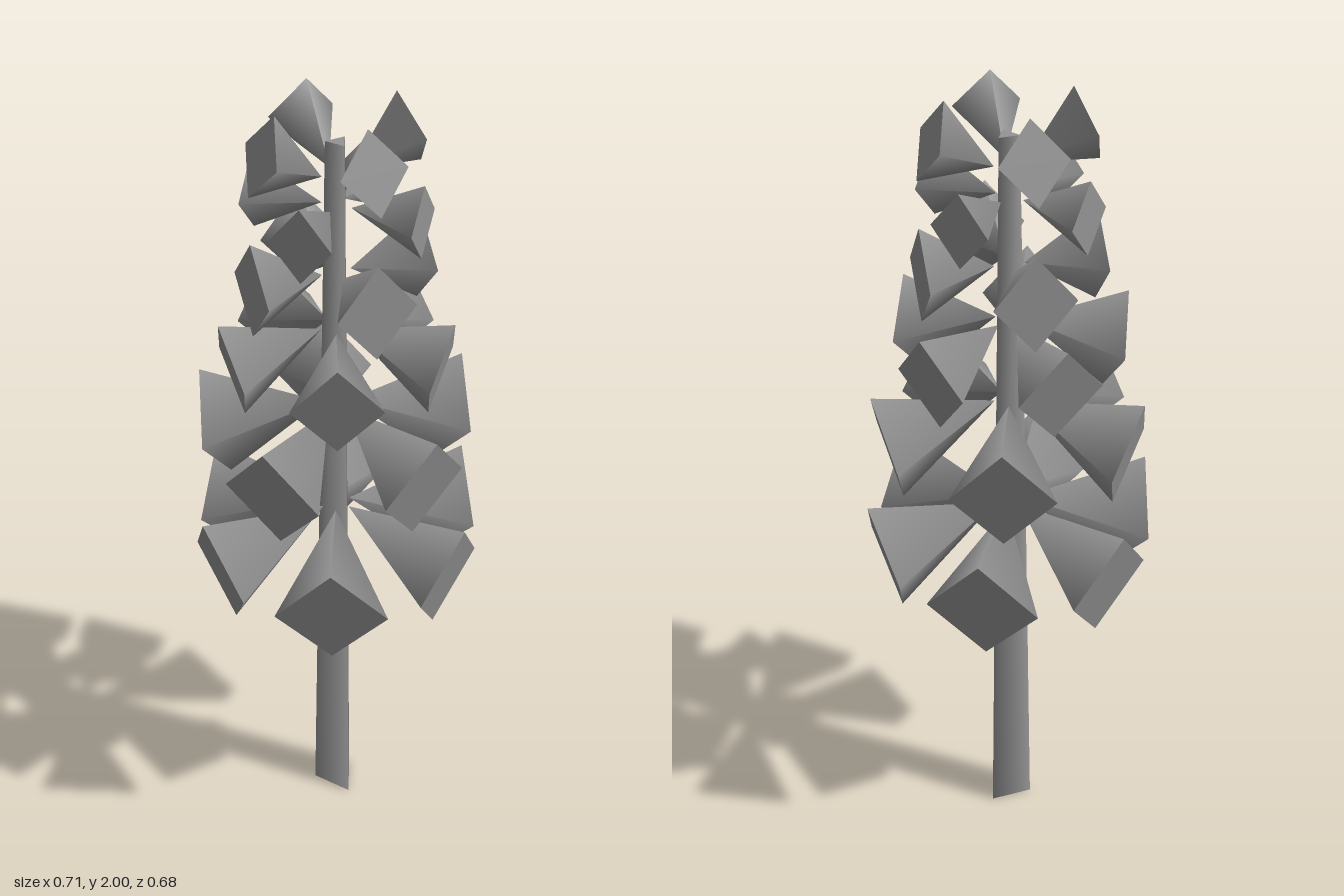
import * as THREE from 'three';

const rad = THREE.MathUtils.degToRad;
const STRETCH = 1.2; // blossoms are taller than wide
const APEX = 0.035; // distance of each blossom's tip from the stem axis

// count, first angle (0 = +x, 90 = front), height, distance of mouth, width, upward tilt
const tiers = [
  { count: 6, start: 0.7, y: 0.86, r: 0.317, width: 0.265, tilt: -16.5 },
  { count: 5, start: 88, y: 1.16, r: 0.296, width: 0.245, tilt: -16 },
  { count: 5, start: 58, y: 1.39, r: 0.249, width: 0.21, tilt: -15 },
  { count: 4, start: 33, y: 1.6, r: 0.205, width: 0.19, tilt: 0 },
  { count: 4, start: 81, y: 1.76, r: 0.2, width: 0.145, tilt: -1 },
  { count: 4, start: 32, y: 1.913, r: 0.175, width: 0.157, tilt: 24 },
];

export function createModel() {
  const model = new THREE.Group();
  model.name = 'flowerSpike';
  const material = new THREE.MeshStandardMaterial({ color: 0x949494 });

  // Tapering three-sided stem
  const stem = new THREE.Mesh(new THREE.CylinderGeometry(0.028, 0.062, 1.91, 3), material);
  stem.name = 'stem';
  stem.position.set(0, 1.91 / 2, -0.007);
  stem.rotation.y = Math.PI;
  model.add(stem);

  // Rings of four-sided blossoms, tip at the stem and flat mouth facing out
  tiers.forEach(({ count, start, y, r, width, tilt }, i) => {
    const ring = new THREE.Group();
    ring.name = `blossomRing${i + 1}`;
    ring.position.y = y;
    const length = (r - APEX) / Math.cos(rad(tilt));
    const geometry = new THREE.ConeGeometry(width / 2, length, 4)
      .rotateX(-Math.PI / 2)
      .translate(0, 0, -length / 2)
      .rotateX(-rad(tilt))
      .scale(1, STRETCH, 1);
    for (let k = 0; k < count; k++) {
      const angle = rad(start + (360 * k) / count);
      const blossom = new THREE.Mesh(geometry, material);
      blossom.name = 'blossom';
      blossom.position.set(r * Math.cos(angle), 0, r * Math.sin(angle));
      blossom.rotation.y = Math.PI / 2 - angle;
      ring.add(blossom);
    }
    model.add(ring);
  });
  return model;
}
